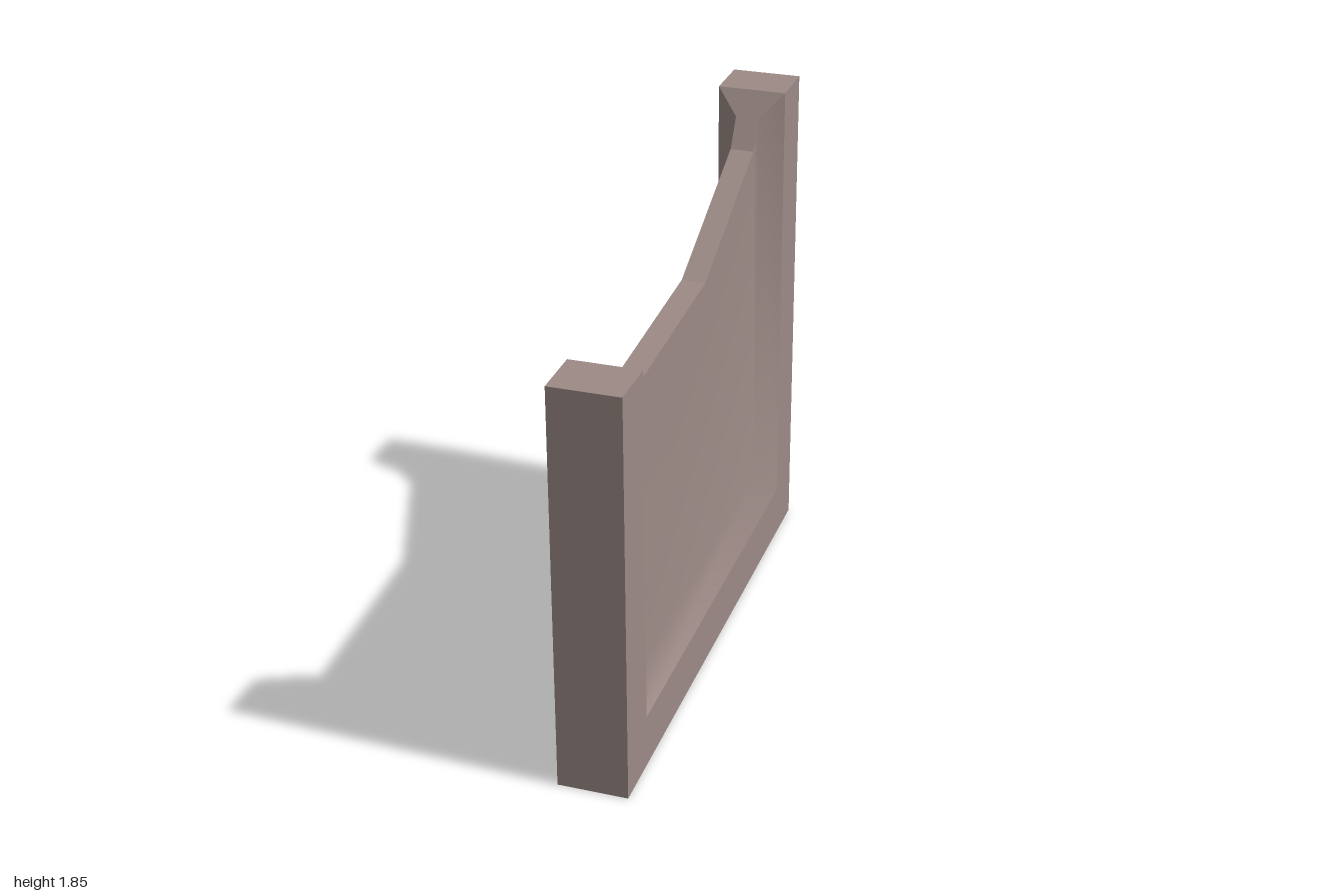
import * as THREE from 'three';

const HALF = 0.125;  // half thickness of the frame
const THIN = 0.043;  // half thickness of the sunken panel

// Outlines as [z, y]
const outer = [[0.805, 1.495], [0.805, 0.195], [-0.805, 0.195], [-0.805, 1.845]];
const inner = [[0.75, 1.46], [0.765, 0.265], [-0.765, 0.265], [-0.75, 1.757]];
const crest = [[-0.685, 1.655], [-0.105, 1.385], [0.705, 1.335]];

function meshFrom(name, positions, index, material, flat = false) {
  let geo = new THREE.BufferGeometry();
  geo.setAttribute('position', new THREE.Float32BufferAttribute(positions, 3));
  geo.setIndex(index);
  if (flat) geo = geo.toNonIndexed();
  geo.computeVertexNormals();
  const mesh = new THREE.Mesh(geo, material);
  mesh.name = name;
  return mesh;
}

// U-shaped frame: two posts of different height on a sill
function makeFrame(material) {
  const outline = [[1, 0], [1, 1.495], ...outer, [-1, 1.845], [-1, 0]];
  const shape = new THREE.Shape(outline.map(([z, y]) => new THREE.Vector2(z, y)));
  const geo = new THREE.ExtrudeGeometry(shape, { depth: 2 * HALF, bevelEnabled: false });
  geo.translate(0, 0, -HALF).rotateY(-Math.PI / 2);
  const mesh = new THREE.Mesh(geo, material);
  mesh.name = 'frame';
  return mesh;
}

// Sunken panel with sloping borders, smoothly shaded
function makePanel(side, material) {
  const positions = [
    ...outer.flatMap(([z, y]) => [side * HALF, y, z]),
    ...[...inner, ...crest].flatMap(([z, y]) => [side * THIN, y, z]),
  ];
  const index = [];
  for (let i = 0; i < 3; i++) index.push(i, i + 1, i + 5, i, i + 5, i + 4);
  index.push(5, 6, 8, 6, 7, 8, 5, 8, 9, 5, 9, 10, 5, 10, 4);
  if (side < 0) index.reverse();
  return meshFrom(side > 0 ? 'leftPanel' : 'rightPanel', positions, index, material);
}

// Stepped upper edge running from the front post to the back post
function makeTopEdge(material) {
  const path = [
    [...outer[0], HALF], [...inner[0], THIN],
    ...[...crest].reverse().map((p) => [...p, THIN]),
    [...inner[3], THIN], [...outer[3], HALF],
  ];
  const positions = path.flatMap(([z, y, w]) => [-w, y, z, w, y, z]);
  const index = [];
  for (let i = 0; i < path.length - 1; i++) {
    const a = 2 * i;
    index.push(a, a + 1, a + 3, a, a + 3, a + 2);
  }
  return meshFrom('topEdge', positions, index, material, true);
}

export function createModel() {
  const stone = new THREE.MeshStandardMaterial({ color: 0x9c8a86 });
  stone.name = 'warm grey stone';
  const model = new THREE.Group();
  model.name = 'partitionWall';
  model.add(makeFrame(stone), makePanel(1, stone), makePanel(-1, stone), makeTopEdge(stone));
  return model;
}
